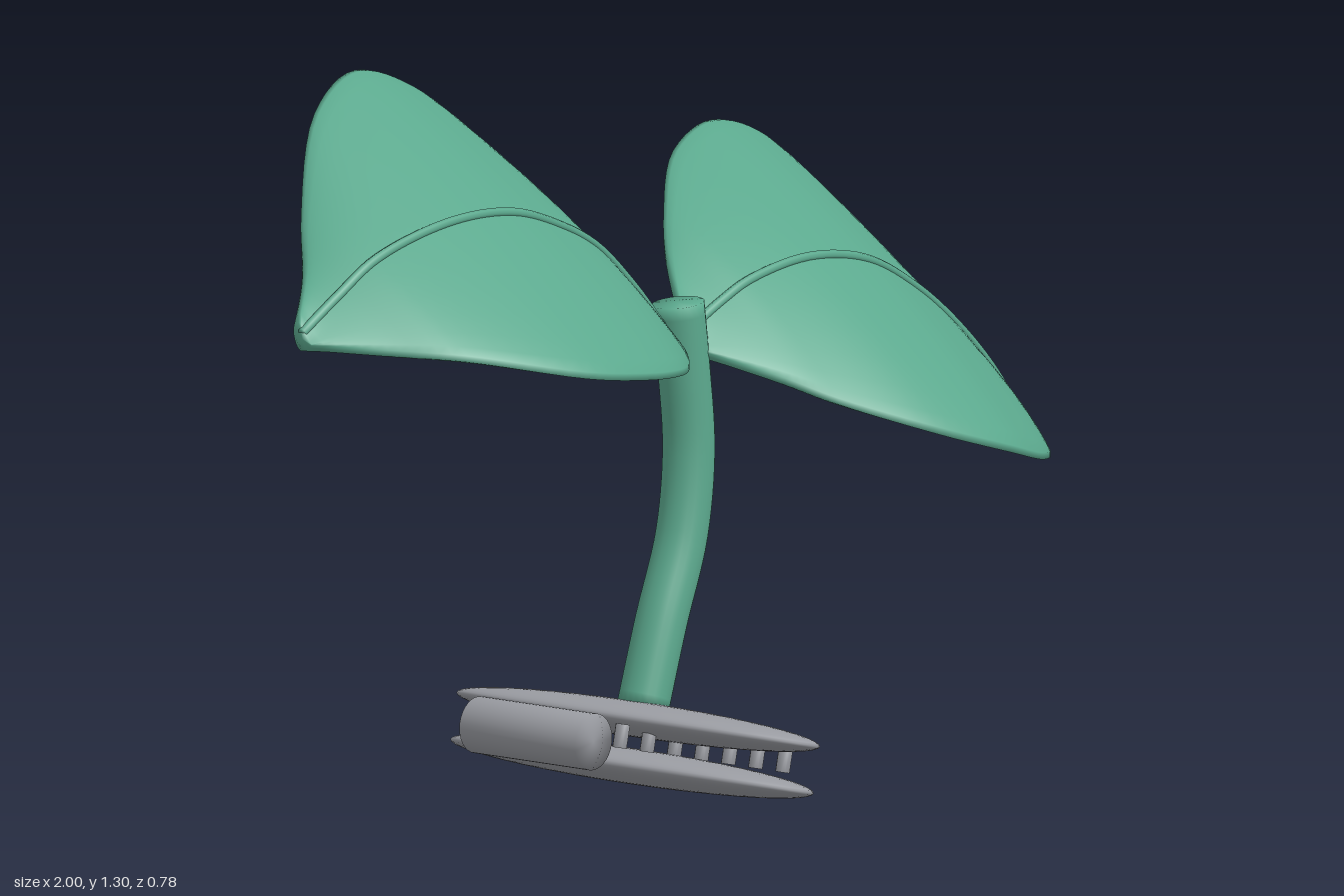
import * as THREE from 'three';
import { mergeVertices } from 'three/addons/utils/BufferGeometryUtils.js';

const V = (x, y, z) => new THREE.Vector3(x, y, z);

// Smooth closed skin over a row of rings, with both ends capped
function loft(rings) {
  const n = rings[0].length, last = rings.length - 1, pos = [], idx = [];
  rings.forEach(r => r.forEach(p => pos.push(p.x, p.y, p.z)));
  for (let i = 0; i < last; i++) {
    for (let j = 0; j < n; j++) {
      const a = i * n + j, b = i * n + (j + 1) % n;
      idx.push(a, b, a + n, b, b + n, a + n);
    }
  }
  for (const i of [0, last]) {
    const c = rings[i].reduce((s, p) => s.add(p), V(0, 0, 0)).divideScalar(n);
    const k = pos.length / 3;
    pos.push(c.x, c.y, c.z);
    for (let j = 0; j < n; j++) {
      const a = i * n + j, b = i * n + (j + 1) % n;
      if (i === 0) idx.push(k, b, a); else idx.push(k, a, b);
    }
  }
  const g = new THREE.BufferGeometry();
  g.setAttribute('position', new THREE.Float32BufferAttribute(pos, 3));
  g.setIndex(idx);
  g.computeVertexNormals();
  return g;
}

// Round solid tube along a curve
function rod(curve, radius, steps, sides) {
  const f = curve.computeFrenetFrames(steps);
  const rings = [];
  for (let i = 0; i <= steps; i++) {
    const c = curve.getPointAt(i / steps), ring = [];
    for (let j = 0; j < sides; j++) {
      const a = j / sides * Math.PI * 2;
      ring.push(c.clone().addScaledVector(f.normals[i], Math.cos(a) * radius)
        .addScaledVector(f.binormals[i], Math.sin(a) * radius));
    }
    rings.push(ring);
  }
  return loft(rings);
}

// Cylinder with soft shading across its rims
function softCylinder(radius, length, sides) {
  let g = new THREE.CylinderGeometry(radius, radius, length, sides);
  g.deleteAttribute('uv');
  g.deleteAttribute('normal');
  g = mergeVertices(g);
  g.computeVertexNormals();
  return g;
}

// Leaf stations: x, back y, back z, midrib y, front y, front z
const LEFT_SIDE = [
  [0.05, 0.835, -0.03, 0.81, 0.775, 0.01],
  [0.15, 0.92, -0.15, 0.855, 0.72, 0.13],
  [0.22, 0.975, -0.215, 0.88, 0.68, 0.195],
  [0.38, 1.055, -0.33, 0.90, 0.615, 0.295],
  [0.54, 1.085, -0.375, 0.875, 0.565, 0.325],
  [0.67, 1.04, -0.37, 0.81, 0.53, 0.28],
  [0.78, 0.915, -0.32, 0.73, 0.51, 0.21],
  [0.885, 0.72, -0.19, 0.63, 0.49, 0.115],
  [0.985, 0.52, -0.03, 0.50, 0.475, 0.0],
];
const RIGHT_SIDE = [
  [-1.0, 0.965, -0.03, 0.95, 0.925, 0.0],
  [-0.9, 1.03, -0.10, 1.005, 0.91, 0.10],
  [-0.8, 1.11, -0.19, 1.055, 0.895, 0.20],
  [-0.6, 1.255, -0.33, 1.095, 0.85, 0.31],
  [-0.43, 1.305, -0.38, 1.09, 0.825, 0.31],
  [-0.3, 1.26, -0.365, 1.05, 0.81, 0.27],
  [-0.2, 1.17, -0.315, 1.0, 0.80, 0.205],
  [-0.1, 1.02, -0.19, 0.915, 0.795, 0.115],
  [0.0, 0.83, -0.05, 0.81, 0.785, 0.02],
];

function makeLeaf(name, stations, material) {
  const line = fn => new THREE.CatmullRomCurve3(stations.map(fn));
  const back = line(s => V(s[0], s[1], s[2]));
  const front = line(s => V(s[0], s[4], s[5]));
  const mid = line(s => V(s[0], s[3] - 0.018, -0.015));
  const rings = [], steps = 48, sides = 28, half = 0.015;
  for (let i = 0; i <= steps; i++) {
    const t = i / steps;
    const B = back.getPoint(t), M = mid.getPoint(t), F = front.getPoint(t);
    const normal = V(0, F.z - B.z, B.y - F.y).normalize();
    const ring = [];
    for (let j = 0; j < sides; j++) {
      const a = j / sides * Math.PI * 2, s = Math.sin(a), c = Math.cos(a);
      // slightly arched section from back edge over midrib to front edge
      const p = V(0, 0, 0).addScaledVector(B, s * (s - 1) / 2)
        .addScaledVector(M, 1 - s * s).addScaledVector(F, s * (s + 1) / 2);
      ring.push(p.addScaledVector(normal, half * Math.sign(c) * Math.sqrt(Math.abs(c))));
    }
    rings.push(ring);
  }
  const leaf = new THREE.Group();
  leaf.name = name;
  const blade = new THREE.Mesh(loft(rings), material);
  blade.name = 'blade';
  const ribLine = line(s => V(s[0], s[3], -0.015));
  const rib = new THREE.Mesh(rod(ribLine, 0.009, 48, 8), material);
  rib.name = 'midrib';
  leaf.add(blade, rib);
  return leaf;
}

export function createModel() {
  const model = new THREE.Group();
  model.name = 'sprout';
  const green = new THREE.MeshStandardMaterial({ color: 0x5ba88d });
  green.name = 'leaf green';
  const grey = new THREE.MeshStandardMaterial({ color: 0x9a9ca2 });
  grey.name = 'stone grey';
  const add = (name, geometry, material) => {
    const m = new THREE.Mesh(geometry, material);
    m.name = name;
    model.add(m);
    return m;
  };

  // Bent stem
  const path = new THREE.CatmullRomCurve3([
    V(-0.088, 0.15, 0), V(-0.035, 0.3, -0.002), V(0.025, 0.45, -0.005),
    V(0.05, 0.6, -0.01), V(0.042, 0.75, -0.015), V(0.03, 0.865, -0.018),
  ]);
  add('stem', rod(path, 0.047, 32, 24), green);

  // Two leaves
  model.add(makeLeaf('leftLeaf', LEFT_SIDE, green));
  model.add(makeLeaf('rightLeaf', RIGHT_SIDE, green));

  // Pair of tilted flat base discs
  const tilt = -0.225;
  [['upperDisc', -0.1, 0.132], ['lowerDisc', -0.117, 0.05]].forEach(([name, x, y]) => {
    const disc = add(name, new THREE.SphereGeometry(1, 48, 24), grey);
    disc.scale.set(0.132, 0.032, 0.39);
    disc.rotation.set(0, 0.075, tilt, 'ZYX');
    disc.position.set(x, y, 0);
  });

  // Roller lying to the side
  const roller = add('roller', softCylinder(0.051, 0.27, 32), grey);
  roller.rotation.x = Math.PI / 2;
  roller.position.set(-0.38, 0.145, 0);

  // Sloping row of pegs
  for (let i = 0; i < 7; i++) {
    const peg = add('peg' + (i + 1), softCylinder(0.013, 0.043, 12), grey);
    peg.rotation.z = tilt;
    peg.position.set(-0.255 + i * 0.0742, 0.134 - i * 0.0174, 0.093);
  }
  return model;
}
